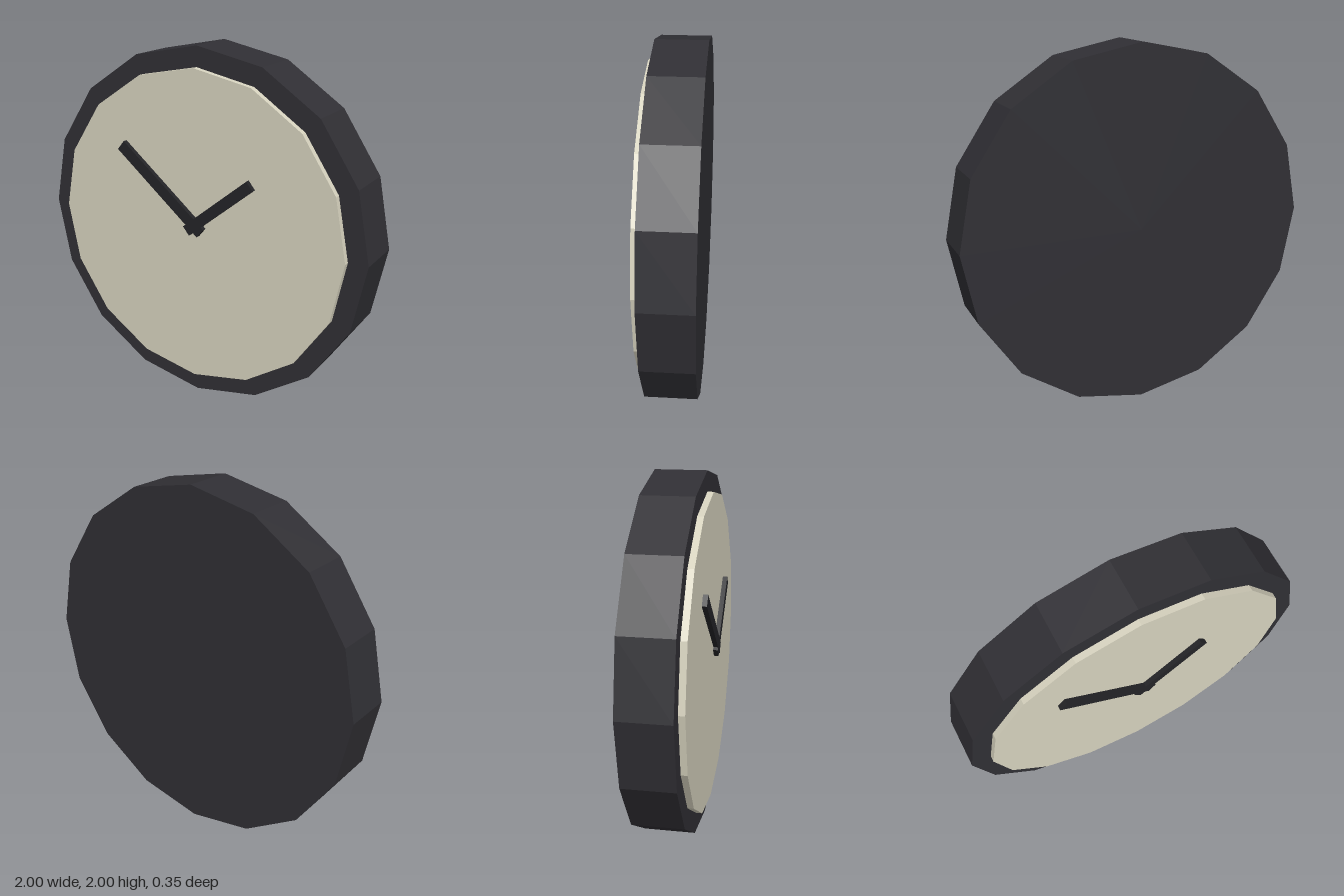
import * as THREE from 'three';

const SIDES = 16;
const CENTRE_Y = 1;

function makeMesh(name, geometry, color) {
  const material = new THREE.MeshStandardMaterial({ color, flatShading: true });
  const mesh = new THREE.Mesh(geometry, material);
  mesh.name = name;
  return mesh;
}

// Faceted disc facing +z, spanning back to front
function makeDisc(name, radius, back, front, color) {
  const geometry = new THREE.CylinderGeometry(radius, radius, front - back, SIDES);
  geometry.rotateX(Math.PI / 2);
  const mesh = makeMesh(name, geometry, color);
  mesh.position.set(0, CENTRE_Y, (back + front) / 2);
  return mesh;
}

// Flat bar running from its tail to its tip in front of the dial
function makeHand(name, tail, tip, width) {
  const along = tip.clone().sub(tail);
  const hand = makeMesh(name, new THREE.BoxGeometry(along.length(), width, 0.026), 0x242427);
  hand.position.set((tail.x + tip.x) / 2, (tail.y + tip.y) / 2, 0.162);
  hand.rotation.z = Math.atan2(along.y, along.x);
  return hand;
}

export function createModel() {
  const clock = new THREE.Group();
  clock.name = 'wallClock';

  // Case and raised dial
  clock.add(makeDisc('case', 1, -0.175, 0.104, 0x302f34));
  clock.add(makeDisc('dial', 0.89, 0.05, 0.138, 0xd6d2be));

  // Hands, crossing just above the middle
  const v = (x, y) => new THREE.Vector2(x, y);
  clock.add(makeHand('minuteHand', v(0.062, 1.01), v(-0.453, 1.43), 0.065));
  clock.add(makeHand('hourHand', v(-0.027, 1.008), v(0.362, 1.327), 0.06));

  return clock;
}
